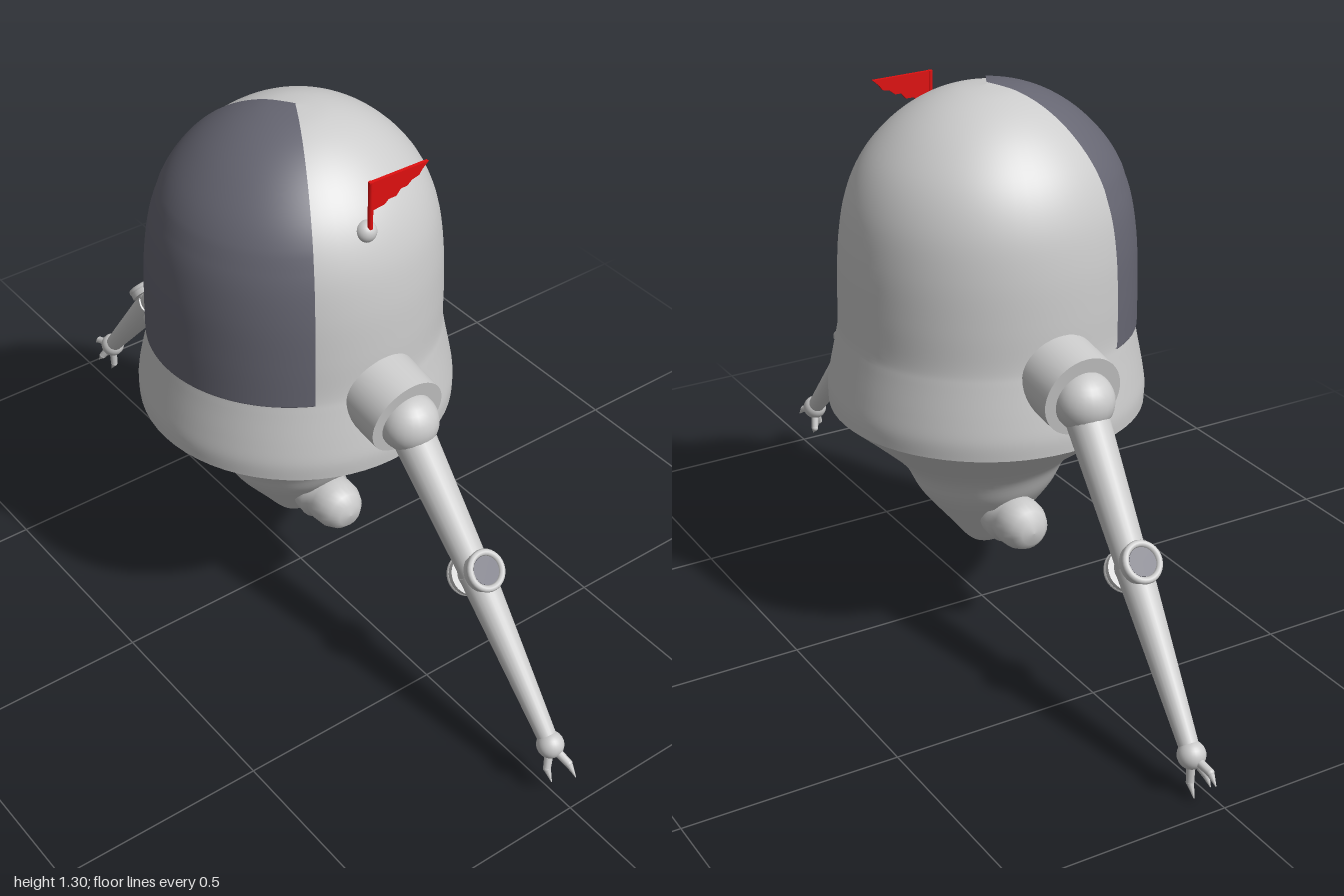
import * as THREE from 'three';

const mat = (color) => new THREE.MeshStandardMaterial({ color, side: THREE.DoubleSide });
const grey = mat(0xcccccc), dark = mat(0x666672), red = mat(0xe01010);
const V = (x, y, z) => new THREE.Vector3(x, y, z);
const CX = -0.02; // the body sits slightly off centre

function add(parent, name, geometry, material = grey) {
  const mesh = new THREE.Mesh(geometry, material);
  mesh.name = name;
  parent.add(mesh);
  return mesh;
}

// Tapered round bar from a to b
function bar(parent, name, a, b, ra, rb, material = grey, sides = 24) {
  const d = b.clone().sub(a);
  const mesh = add(parent, name, new THREE.CylinderGeometry(rb, ra, d.length(), sides), material);
  mesh.position.copy(a).addScaledVector(d, 0.5);
  mesh.quaternion.setFromUnitVectors(V(0, 1, 0), d.normalize());
  return mesh;
}

function ball(parent, name, p, r) {
  const mesh = add(parent, name, new THREE.SphereGeometry(r, 24, 16));
  mesh.position.copy(p);
  return mesh;
}

const smooth = (pts, n) => new THREE.SplineCurve(pts.map(([r, y]) => new THREE.Vector2(r, y))).getPoints(n)
  .map((p) => p.set(Math.max(p.x, 0), p.y));

// Lathe narrowed a little sideways above and below the rim
function shell(profile, start = Math.PI, length = Math.PI * 2) {
  const g = new THREE.LatheGeometry(profile, 64, start, length);
  const p = g.attributes.position;
  for (let i = 0; i < p.count; i++) {
    const y = p.getY(i);
    const up = THREE.MathUtils.smoothstep(y, 0.6, 0.76), down = 1 - THREE.MathUtils.smoothstep(y, 0.38, 0.56);
    p.setX(i, p.getX(i) * (1 - 0.04 * up - 0.14 * down));
  }
  return g;
}

function buildArm(side, elbow, wrist, tips) {
  const arm = new THREE.Group();
  arm.name = side > 0 ? 'leftArm' : 'rightArm';
  const shoulder = V(CX + side * 0.405, 0.705, 0);
  // Socket collar tilted slightly downward
  bar(arm, 'shoulderCollar', V(CX + side * 0.29, 0.733, 0), V(CX + side * 0.412, 0.713, 0), 0.097, 0.095, grey, 40);
  bar(arm, 'shoulderNeck', V(CX + side * 0.38, 0.715, 0), V(CX + side * 0.425, 0.705, 0), 0.068, 0.064);
  ball(arm, 'shoulderBall', shoulder.clone().add(V(side * 0.012, 0, 0)), 0.068);
  bar(arm, 'upperArm', shoulder, elbow, 0.05, 0.036);
  bar(arm, 'forearm', elbow, wrist, 0.04, 0.021);

  // Elbow hinge: a rimmed disc on the outer and inner side
  const along = wrist.clone().sub(shoulder).normalize();
  const across = V(-along.y * side, along.x * side, 0).normalize();
  const at = (s) => elbow.clone().addScaledVector(across, s);
  bar(arm, 'elbowPin', at(-0.04), at(0.04), 0.032, 0.032);
  for (const s of [-1, 1]) {
    bar(arm, 'elbowDisc', at(s * 0.026), at(s * 0.044), 0.046, 0.046, grey, 32);
    bar(arm, 'elbowInset', at(s * 0.04), at(s * 0.046), 0.032, 0.032, dark, 32);
    const rim = add(arm, 'elbowRim', new THREE.TorusGeometry(0.04, 0.008, 8, 32));
    rim.position.copy(at(s * 0.044));
    rim.quaternion.setFromUnitVectors(V(0, 0, 1), across);
  }

  // Hand with bent claws
  ball(arm, 'hand', wrist, 0.031);
  for (const tip of tips) {
    const knuckle = wrist.clone().lerp(tip, 0.6);
    knuckle.add(tip.clone().sub(wrist).addScaledVector(along, -tip.clone().sub(wrist).dot(along)).multiplyScalar(0.3));
    bar(arm, 'clawBase', wrist, knuckle, 0.011, 0.009, grey, 10);
    ball(arm, 'clawKnuckle', knuckle, 0.009);
    bar(arm, 'clawTip', knuckle, tip, 0.009, 0.001, grey, 10);
  }
  return arm;
}

export function createModel() {
  const model = new THREE.Group();
  const body = new THREE.Group();
  body.name = 'body';
  body.position.x = CX;
  model.add(body);

  // Domed upper shell with flared skirt
  const dome = [[0.343, 0.76], [0.342, 0.85], [0.336, 0.96], [0.318, 1.06], [0.28, 1.145], [0.22, 1.215],
    [0.15, 1.265], [0.075, 1.294], [0, 1.303]];
  add(body, 'upperShell', shell(smooth([[0.366, 0.56], [0.367, 0.6], [0.36, 0.65], [0.348, 0.72], ...dome], 64)));

  // Underside narrowing to a rounded tip
  add(body, 'underside', shell(smooth([[0, 0.176], [0.025, 0.179], [0.05, 0.195], [0.095, 0.25], [0.163, 0.335],
    [0.205, 0.41], [0.28, 0.484], [0.366, 0.56]], 48)));

  // Dark front window, a thin wedge of the dome
  const face = smooth([[0.343, 0.745], ...dome], 48);
  const outer = face.map((p) => new THREE.Vector2(p.x > 0 ? p.x + 0.006 : 0, p.y + 0.004 * (p.y > 1.1)));
  const half = THREE.MathUtils.degToRad(62);
  add(body, 'window', shell([face[0], ...outer], -half, half * 2), dark);

  // Stubby thrusters either side of the tip
  const pod = [[0.04, 0.03], [0.05, 0.07], [0.066, 0.085], [0.068, 0.115], [0.058, 0.122], [0.061, 0.145],
    [0.059, 0.175], [0.048, 0.2], [0.03, 0.217], [0, 0.221]].map(([r, y]) => new THREE.Vector2(r, y));
  for (const side of [-1, 1]) {
    const thruster = add(body, side > 0 ? 'leftThruster' : 'rightThruster', new THREE.LatheGeometry(pod, 24));
    thruster.rotation.z = -side * Math.PI / 2;
    thruster.position.y = 0.288;
  }

  // Arms, posed slightly differently
  model.add(buildArm(1, V(0.636, 0.43, -0.008), V(0.92, 0.137, 0),
    [V(0.995, 0.09, -0.012), V(0.955, 0.06, 0.02), V(0.91, 0.066, -0.012)]));
  model.add(buildArm(-1, V(-0.658, 0.41, -0.012), V(-0.922, 0.1, -0.033),
    [V(-1, 0.065, -0.025), V(-0.942, 0.004, -0.036), V(-0.962, 0.035, -0.01)]));

  // Pennant on a small mount
  const flag = new THREE.Group();
  flag.name = 'flag';
  model.add(flag);
  ball(flag, 'flagMount', V(0.25, 1.13, 0.015), 0.025);
  bar(flag, 'flagPole', V(0.265, 1.125, 0.015), V(0.265, 1.26, 0.015), 0.006, 0.006, red, 12);
  const edge = [[-0.02, 1.26], [0.135, 1.258], [0.118, 1.243], [0.11, 1.232], [0.092, 1.228], [0.078, 1.217],
    [0.062, 1.217], [0.05, 1.203], [0.03, 1.203], [0.02, 1.194], [-0.015, 1.19]];
  const cloth = new THREE.ExtrudeGeometry(new THREE.Shape(edge.map(([x, y]) => new THREE.Vector2(x, y))),
    { depth: 0.008, bevelEnabled: false });
  const pennant = add(flag, 'pennant', cloth, red);
  pennant.rotation.y = Math.PI / 2;
  pennant.position.x = 0.261;
  return model;
}
